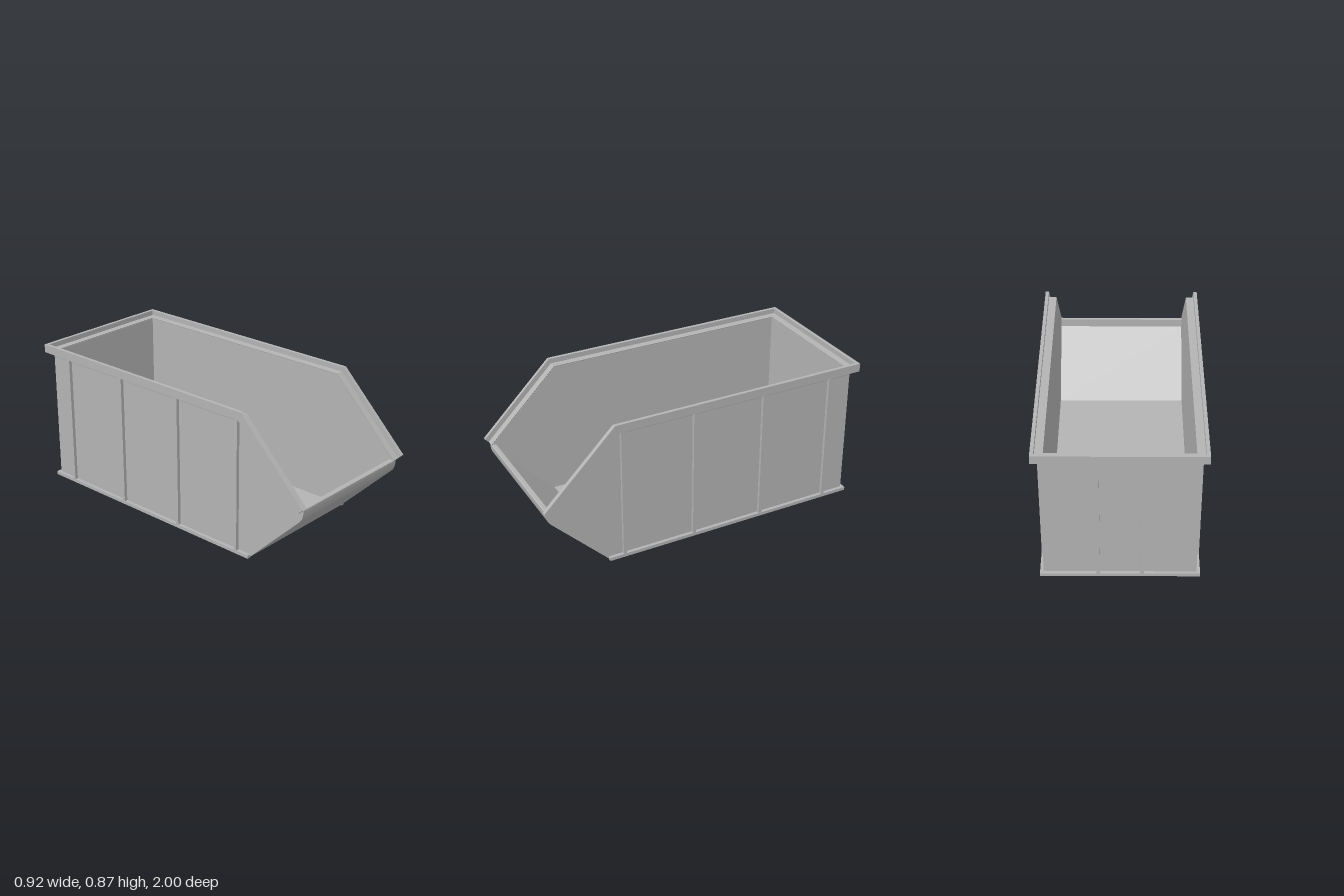
import * as THREE from 'three';
import { toCreasedNormals } from 'three/addons/utils/BufferGeometryUtils.js';

const INNER = 0.395, OUTER = 0.42, BACK_IN = -0.935, BACK_OUT = -0.96;

export function createModel() {
  const bin = new THREE.Group();
  bin.name = 'storageBin';
  const grey = new THREE.MeshStandardMaterial({ color: 0xb4b4b4 });
  grey.name = 'grey plastic';

  function add(name, geometry) {
    const mesh = new THREE.Mesh(geometry, grey);
    mesh.name = name;
    bin.add(mesh);
    return mesh;
  }
  // Box given by its lower and upper limits on each axis
  function box(name, x0, x1, y0, y1, z0, z1) {
    add(name, new THREE.BoxGeometry(x1 - x0, y1 - y0, z1 - z0))
      .position.set((x0 + x1) / 2, (y0 + y1) / 2, (z0 + z1) / 2);
  }
  // Side profile drawn in (z, y), extruded from x0 to x1
  function extrudeAcross(name, shape, x0, x1) {
    const g = new THREE.ExtrudeGeometry(shape, { depth: x1 - x0, bevelEnabled: false, curveSegments: 10 });
    g.rotateY(-Math.PI / 2).translate(x1, 0, 0);
    add(name, toCreasedNormals(g, 0.4));
  }
  // Underside and rounded front lip, shared by the walls and the tray
  function frontOutline() {
    const s = new THREE.Shape();
    s.moveTo(BACK_IN, 0);
    s.lineTo(0.61, 0);
    s.lineTo(0.953, 0.343);
    s.quadraticCurveTo(0.977, 0.367, 0.977, 0.418);
    return s;
  }

  // Floor and sloping front in one bent sheet
  const tray = frontOutline();
  tray.lineTo(0.972, 0.422);
  tray.lineTo(0.95, 0.422);
  tray.lineTo(0.95, 0.37);
  tray.lineTo(0.6, 0.02);
  tray.lineTo(BACK_IN, 0.02);
  extrudeAcross('floorAndFront', tray, -INNER, INNER);

  // Side walls
  const wall = frontOutline();
  wall.lineTo(0.558, 0.835);
  wall.lineTo(BACK_IN, 0.835);
  extrudeAcross('leftWall', wall, INNER, OUTER);
  extrudeAcross('rightWall', wall, -OUTER, -INNER);
  box('backWall', -OUTER, OUTER, 0, 0.835, BACK_OUT, BACK_IN);

  // Stepped rim, mitred at the corners
  add('rim', rimGeometry());

  // Base flange and upright ribs
  box('backBaseFlange', -0.44, 0.44, 0, 0.02, -0.978, BACK_OUT);
  for (const s of [-1, 1]) {
    const side = s > 0 ? 'left' : 'right';
    const x0 = s > 0 ? OUTER : -0.44, x1 = s > 0 ? 0.44 : -OUTER;
    box(side + 'BaseFlange', x0, x1, 0, 0.02, BACK_OUT, 0.615);
    for (const z of [0.52, 0.075, -0.37, -0.815]) {
      box(side + 'Rib', x0, x1 - (s > 0 ? 0.002 : 0), 0.02, 0.822, z - 0.01, z + 0.01);
    }
    box('backRib', s * 0.12 - 0.01, s * 0.12 + 0.01, 0.02, 0.822, -0.978, BACK_OUT);
  }
  return bin;
}

function rimGeometry() {
  // Cross-section: x outwards, y down from the rim's top edge
  const section = [[INNER, -0.03], [0.41, -0.08], [OUTER, -0.08]];
  for (let i = 1; i <= 6; i++) { // fillet under the flange
    const a = (i / 6) * Math.PI / 2;
    section.push([0.443 - 0.023 * Math.cos(a), -0.08 + 0.03 * Math.sin(a)]);
  }
  section.push([0.46, -0.05], [0.46, 0], [0.44, 0], [0.44, -0.03]);

  // Stations: sloping end, knee and back corner, then mirrored
  const mitre = Math.tan(Math.PI / 8), d = Math.SQRT1_2;
  const end = s => ([u, v]) => [s * u, 0.443 + v * d, 1 + v * d];
  const knee = s => ([u, v]) => [s * u, 0.87 + v, 0.573 + v * mitre];
  const corner = s => ([u, v]) => [s * u, 0.87 + v, -(u + 0.54)];
  const loops = [end(1), knee(1), corner(1), corner(-1), knee(-1), end(-1)].map(f => section.map(f));

  const pos = [], n = section.length;
  const tri = (a, b, c) => pos.push(...a, ...b, ...c);
  for (let i = 0; i < loops.length - 1; i++) {
    for (let j = 0; j < n; j++) {
      const k = (j + 1) % n, p = loops[i], q = loops[i + 1];
      tri(p[j], q[j], p[k]);
      tri(p[k], q[j], q[k]);
    }
  }
  // End caps
  const flat = section.map(([u, v]) => new THREE.Vector2(u, v));
  const first = loops[0], last = loops[loops.length - 1];
  for (const [a, b, c] of THREE.ShapeUtils.triangulateShape(flat, [])) {
    tri(first[a], first[b], first[c]);
    tri(last[a], last[c], last[b]);
  }
  const g = new THREE.BufferGeometry();
  g.setAttribute('position', new THREE.Float32BufferAttribute(pos, 3));
  return toCreasedNormals(g, 0.4);
}
